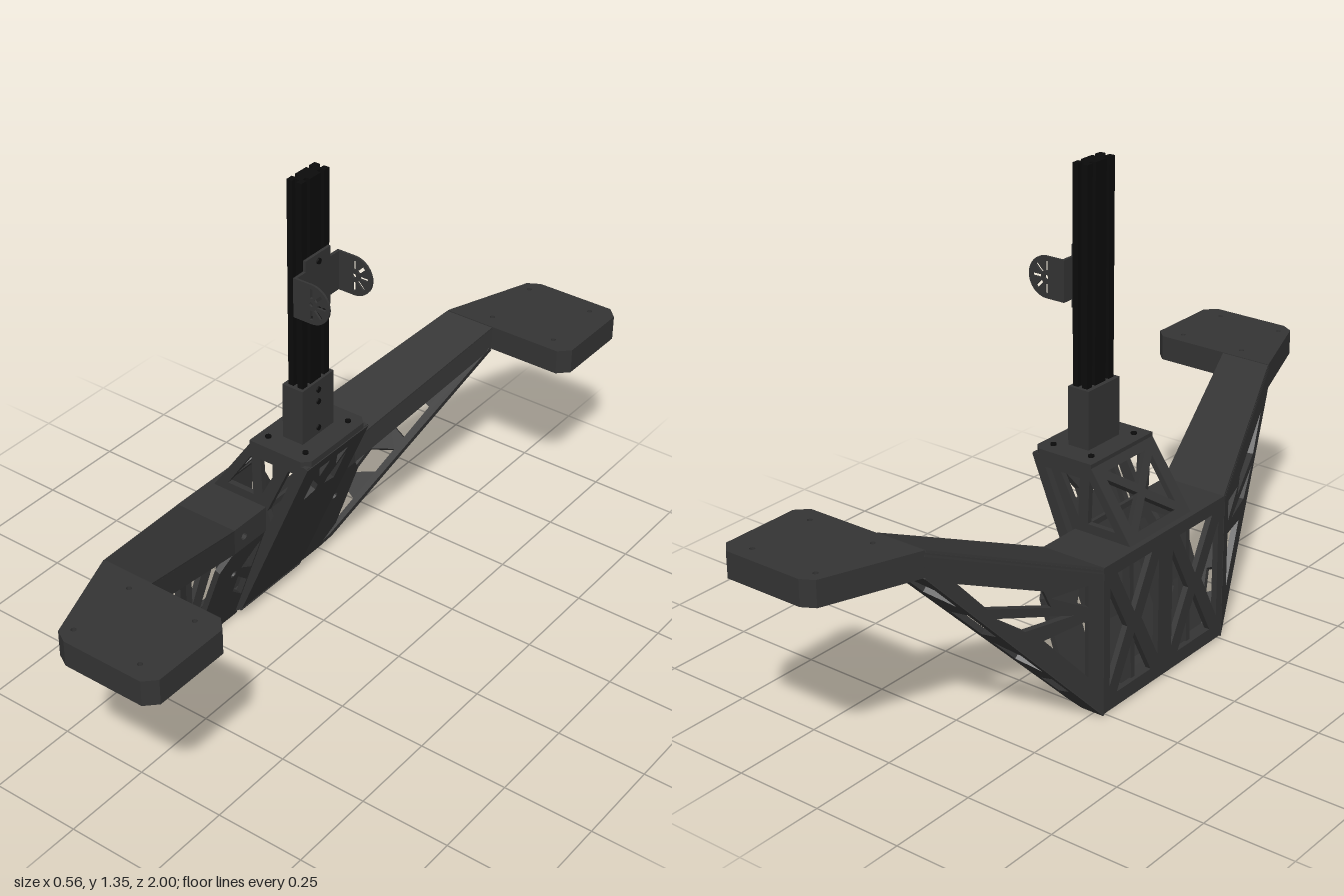
import * as THREE from 'three';

const dark = new THREE.MeshStandardMaterial({ color: 0x343434 });
const black = new THREE.MeshStandardMaterial({ color: 0x0b0b0b });

// Flat plate of thickness t: 2D outline and holes placed in space by an affine map (a, b) -> [x, y, z]
function plate(name, map, outline, holes = [], t = 0.016, material = dark) {
  const at = (a, b) => new THREE.Vector3(...map(a, b));
  const o = at(0, 0);
  const X = at(1, 0).sub(o).normalize();
  const N = X.clone().cross(at(0, 1).sub(o)).normalize();
  const Y = N.clone().cross(X);
  const flat = ([a, b]) => {
    const p = at(a, b).sub(o);
    return new THREE.Vector2(p.dot(X), p.dot(Y));
  };
  const shape = new THREE.Shape(outline.map(flat));
  shape.holes = holes.map(h => new THREE.Path(h.map(flat)));
  const geo = new THREE.ExtrudeGeometry(shape, { depth: t, bevelEnabled: false });
  geo.translate(0, 0, -t / 2);
  geo.applyMatrix4(new THREE.Matrix4().makeBasis(X, Y, N).setPosition(o));
  const mesh = new THREE.Mesh(geo, material);
  mesh.name = name;
  return mesh;
}

const rect = (a0, a1, b0, b1) => [[a0, b0], [a1, b0], [a1, b1], [a0, b1]];
const circle = (a, b, r, n = 14) => Array.from({ length: n }, (_, i) =>
  [a + r * Math.cos(i / n * 2 * Math.PI), b + r * Math.sin(i / n * 2 * Math.PI)]);

// Four triangular windows that leave an X of struts in a rectangle
function crossWindows(a0, a1, b0, b1, g) {
  const a = (a0 + a1) / 2, b = (b0 + b1) / 2;
  return [
    [[a0 + g, b0], [a1 - g, b0], [a, b - g]], [[a0 + g, b1], [a1 - g, b1], [a, b + g]],
    [[a0, b0 + g], [a0, b1 - g], [a - g, b]], [[a1, b0 + g], [a1, b1 - g], [a + g, b]]
  ];
}

function box(name, x0, x1, y0, y1, z0, z1, material = dark) {
  const m = new THREE.Mesh(new THREE.BoxGeometry(x1 - x0, y1 - y0, z1 - z0), material);
  m.position.set((x0 + x1) / 2, (y0 + y1) / 2, (z0 + z1) / 2);
  m.name = name;
  return m;
}

function bolt(x, y, z, alongX) {
  const m = new THREE.Mesh(new THREE.CylinderGeometry(0.008, 0.008, 0.008, 12), black);
  m.position.set(x, y, z);
  if (alongX) m.rotation.z = Math.PI / 2;
  m.name = 'bolt';
  return m;
}

// One side arm with its hollow end pad; s is the sign of z
function arm(s) {
  const g = new THREE.Group();
  g.name = s > 0 ? 'frontArm' : 'rearArm';
  g.add(plate('armTop', (x, z) => [x, 0.402 + (z - 0.26) * 0.391, s * z],
    [[-0.28, 0.26], [-0.09, 0.26], [0.04, 0.72], [-0.11, 0.72]]));
  g.add(plate('armOuterTruss', (z, y) => [-0.272 + (z - 0.26) * 0.37, y, s * z],
    [[0.26, 0], [0.72, 0.52], [0.72, 0.585], [0.26, 0.405]], [
      [[0.3, 0.28], [0.3, 0.12], [0.42, 0.26]],
      [[0.3, 0.315], [0.3, 0.375], [0.4, 0.37]],
      [[0.34, 0.305], [0.47, 0.3], [0.55, 0.36]],
      [[0.4, 0.345], [0.565, 0.39], [0.64, 0.48], [0.42, 0.395]]
    ]));
  g.add(plate('armInnerFlange', (z, y) => [-0.098 + (z - 0.26) * 0.283, y, s * z],
    [[0.26, 0.335], [0.72, 0.52], [0.72, 0.585], [0.26, 0.405]]));

  // sloping underside truss, windows laid between its two edges
  const edge = (u, y) => [(-0.28 + 0.327 * y) * (1 - u) + (-0.203 + 0.467 * y) * u, y];
  const windows = [[0.07, 0.14], [0.17, 0.25], [0.28, 0.38], [0.41, 0.49]].map(([y0, y1], i) =>
    i % 2 ? [edge(0.2, y0), edge(0.8, y0 + 0.02), edge(0.8, y1), edge(0.2, y1 - 0.02)]
      : [edge(0.2, y0 + 0.02), edge(0.8, y0), edge(0.8, y1 - 0.02), edge(0.2, y1)]);
  g.add(plate('armUnderTruss', (x, y) => [x, y, s * (0.255 + y * 0.885)],
    [[-0.28, 0], [-0.21, 0], edge(1, 0.03), edge(1, 0.52), edge(0, 0.52)], windows));

  // pad: thin deck, rim and diagonal ribs
  const outline = [[-0.11, 0.72], [0.04, 0.72], [0.25, 0.72], [0.28, 0.75], [0.28, 0.97],
    [0.25, 1], [0.02, 1], [-0.015, 0.98]];
  const inner = [[-0.08, 0.74], [0.24, 0.74], [0.26, 0.76], [0.26, 0.96], [0.24, 0.98],
    [0.03, 0.98], [0.002, 0.97]];
  const screws = [];
  for (const x of [0.01, 0.21]) for (const z of [0.765, 0.955]) screws.push(circle(x, z, 0.007));
  g.add(plate('padDeck', (x, z) => [x, 0.582, s * z], outline, screws));
  g.add(plate('padRim', (x, z) => [x, 0.547, s * z], outline, [inner], 0.056));
  g.add(plate('padRib', (x, z) => [x, 0.562, s * z], [[0, 0.75], [0.02, 0.74], [0.25, 0.96], [0.23, 0.97]], [], 0.025));
  g.add(plate('padRib', (x, z) => [x, 0.562, s * z], [[0.23, 0.74], [0.25, 0.75], [0.03, 0.97], [0.01, 0.96]], [], 0.025));

  // centre base panels beside the tower
  g.add(plate('baseInnerFlange', (z, y) => [-0.098, y, s * z], rect(0.12, 0.264, 0.335, 0.405),
    [circle(0.22, 0.37, 0.011)]));
  g.add(plate('baseSlopedPanel', (z, y) => [-0.215 + 0.34 * y, y, s * z],
    [[0.12, 0], [0.257, 0], [0.3, 0.05], [0.3, 0.29], [0.26, 0.34], [0.12, 0.34]], [
      circle(0.22, 0.23, 0.011),
      [[0.135, 0.09], [0.19, 0.14], [0.19, 0.2], [0.135, 0.15]],
      [[0.135, 0.2], [0.19, 0.235], [0.15, 0.29], [0.135, 0.3]]
    ]));

  // tower side
  g.add(plate('towerSide', (x, y) => [x, y, s * 0.122],
    [[-0.27, 0], [-0.22, 0], [-0.18, 0.03], [0.045, 0.585], [-0.14, 0.585], [-0.26, 0.41]], [
      [[-0.135, 0.555], [-0.215, 0.435], [-0.13, 0.435]],
      [[-0.105, 0.555], [-0.1, 0.45], [-0.045, 0.555]],
      [[-0.015, 0.555], [0.005, 0.555], [-0.075, 0.37], [-0.085, 0.4]],
      [[-0.24, 0.385], [-0.24, 0.28], [-0.15, 0.385]],
      [[-0.22, 0.25], [-0.13, 0.36], [-0.1, 0.34], [-0.15, 0.21]],
      [[-0.24, 0.22], [-0.24, 0.06], [-0.2, 0.06], [-0.16, 0.16]]
    ]));
  return g;
}

function createModel() {
  const model = new THREE.Group();
  model.add(arm(1), arm(-1));

  // centre base
  model.add(plate('baseBack', (z, y) => [-0.272, y, z], rect(-0.26, 0.26, 0, 0.41),
    [...crossWindows(0.03, 0.235, 0.04, 0.375, 0.03), ...crossWindows(-0.235, -0.03, 0.04, 0.375, 0.03)]));
  model.add(plate('baseTop', (x, z) => [x, 0.402, z], rect(-0.28, -0.09, -0.262, 0.262),
    [rect(-0.25, -0.1, -0.11, 0.11)]));
  model.add(box('baseBottom', -0.28, -0.21, 0, 0.015, -0.26, 0.26));

  // tower
  const w = 0.13;
  model.add(plate('towerToe', (x, z) => [x, 0.005 + 0.75 * (x + 0.22), z], rect(-0.22, -0.18, -w, w), [], 0.01));
  model.add(plate('towerFront', (z, y) => [-0.19 + (y - 0.025) * 0.41, y, z], rect(-w, w, 0.025, 0.585), [
    [[0.015, 0.55], [0.06, 0.55], [0.035, 0.5]], [[-0.015, 0.55], [-0.06, 0.55], [-0.035, 0.5]],
    [[0.065, 0.53], [0.065, 0.43], [0.02, 0.44], [0.02, 0.46]],
    [[-0.065, 0.53], [-0.065, 0.43], [-0.02, 0.44], [-0.02, 0.46]]
  ]));
  model.add(plate('towerBack', (z, y) => [-0.253 + (y - 0.41) * 0.686, y, z], rect(-w, w, 0.405, 0.585),
    crossWindows(-0.095, 0.095, 0.425, 0.565, 0.016)));
  const c = 0.02;
  model.add(plate('towerCap', (x, z) => [x, 0.591, z], [[-0.14, -w], [0.045 - c, -w], [0.045, c - w],
    [0.045, w - c], [0.045 - c, w], [-0.14, w]], [], 0.018));
  for (const x of [-0.11, 0.01]) for (const z of [-0.09, 0.09]) model.add(bolt(x, 0.601, z));

  // column: double slotted rail in a socket
  model.add(box('columnSocket', -0.082, -0.018, 0.59, 0.76, -0.065, 0.065));
  for (const y of [0.62, 0.7, 0.735]) model.add(bolt(-0.018, y, 0, true));
  const quarter = [[0.0225, 0], [0.0225, 0.022], [0.01, 0.022], [0.01, 0.034], [0.0225, 0.034],
    [0.0225, 0.055], [0.006, 0.055], [0.006, 0.042]];
  const flip = (sx, sz) => quarter.map(([x, z]) => [-0.0475 + sx * x, sz * z]);
  const rail = [...flip(1, 1), ...flip(-1, 1).reverse(),
    ...flip(-1, -1).slice(1), ...flip(1, -1).reverse().slice(0, -1)];
  model.add(plate('column', (x, z) => [x, 0.98, z], rail, [], 0.72, black));

  // sliding bracket with two rounded ears
  const half = [[0.05, 0.965], [0.05, 0.99], [0.09, 0.99], [0.09, 1.1], [0.05, 1.1], [0.05, 1.13]];
  model.add(plate('bracketPlate', (z, y) => [-0.021, y, z],
    [...half, ...half.map(([z, y]) => [-z, y]).reverse()], [], 0.008));
  for (const y of [0.985, 1.11]) model.add(bolt(-0.016, y, 0, true));
  const ear = [[-0.024, 0.99]];
  for (let i = 0; i <= 16; i++) {
    const a = -Math.PI / 2 + i / 16 * Math.PI;
    ear.push([0.03 + 0.055 * Math.cos(a), 1.045 + 0.055 * Math.sin(a)]);
  }
  ear.push([-0.024, 1.1]);
  const slots = [-90, -45, 0, 45, 90].map(d => {
    const a = d * Math.PI / 180, k = Math.cos(a), n = Math.sin(a);
    return rect(0.017, 0.043, -0.004, 0.004).map(([r, t]) => [0.03 + r * k - t * n, 1.045 + r * n + t * k]);
  });
  for (const s of [1, -1]) {
    model.add(plate('bracketEar', (x, y) => [x, y, s * 0.087], ear, [circle(0.03, 1.045, 0.006), ...slots], 0.006));
  }
  return model;
}

export { createModel };
